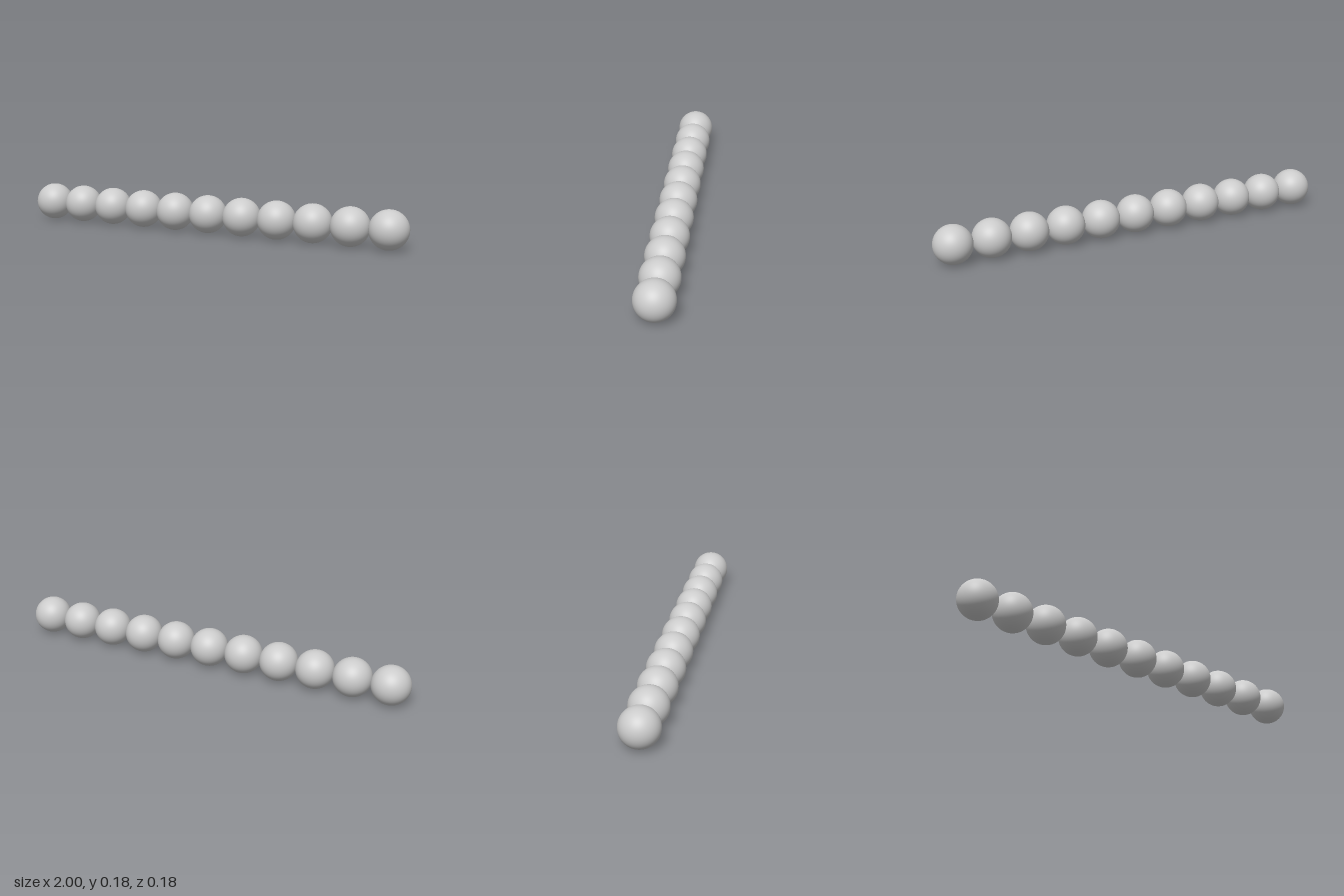
import * as THREE from 'three';

export function createModel() {
  const group = new THREE.Group();
  group.name = 'beadRow';

  // Eleven equal spheres, each touching its neighbours
  const count = 11;
  const radius = 1 / count;
  const geometry = new THREE.SphereGeometry(radius, 64, 48);
  const material = new THREE.MeshStandardMaterial({ color: 0xcccccc });

  for (let i = 0; i < count; i++) {
    const bead = new THREE.Mesh(geometry, material);
    bead.name = `bead${i + 1}`;
    bead.position.set((i - (count - 1) / 2) * 2 * radius, radius, 0);
    group.add(bead);
  }
  return group;
}
